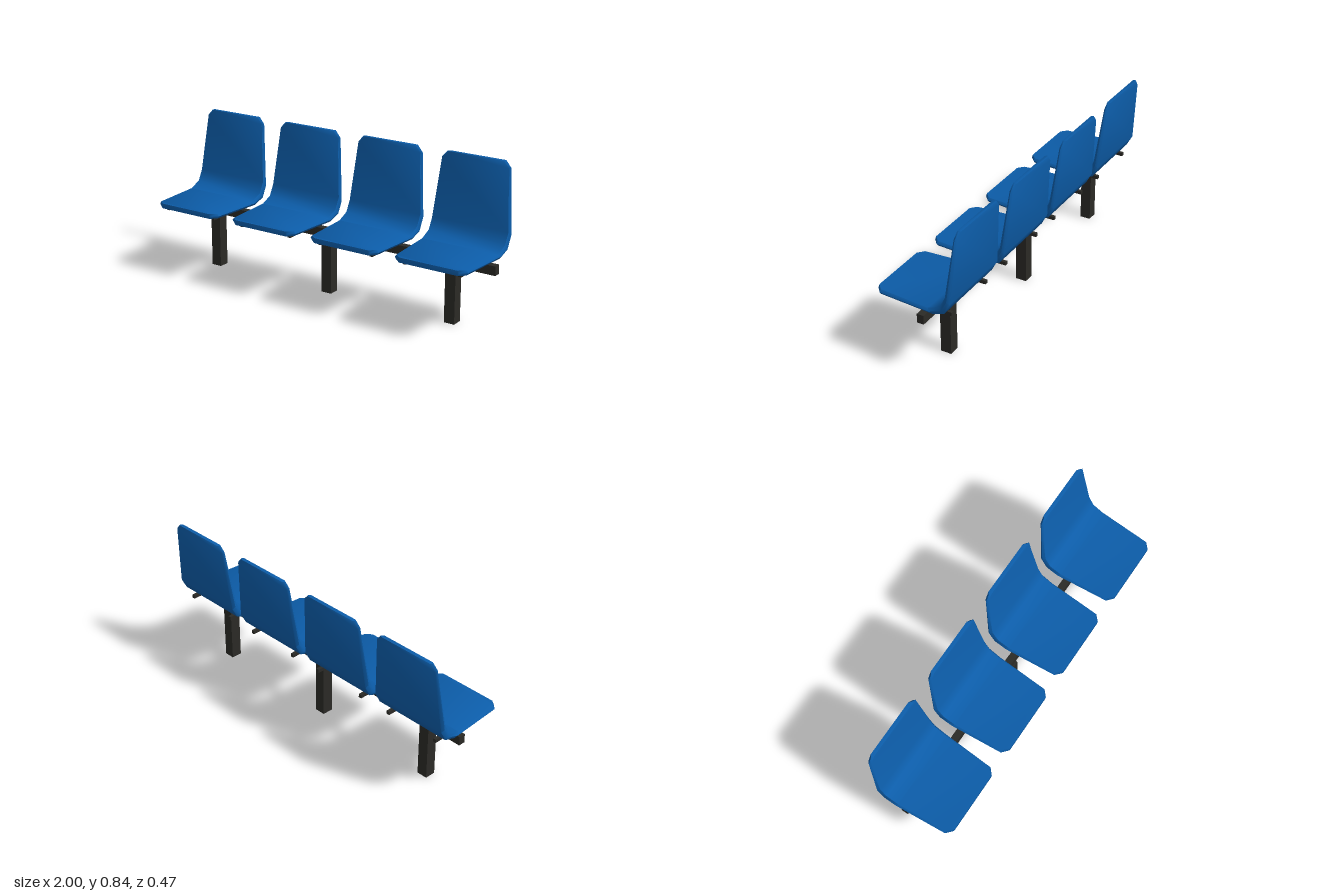
import * as THREE from 'three';
import { toCreasedNormals } from 'three/addons/utils/BufferGeometryUtils.js';

const blue = new THREE.MeshStandardMaterial({ color: 0x0c5ca8 });
const dark = new THREE.MeshStandardMaterial({ color: 0x2b2a26 });

// Seat shell stations from front lip to top of backrest:
// [outer z, outer y, inner z, inner y, half width]
const stations = [
  [0.238, 0.375, 0.238, 0.402, 0.175],
  [0.208, 0.375, 0.208, 0.402, 0.208],
  [-0.1, 0.375, -0.075, 0.402, 0.228],
  [-0.17, 0.4, -0.143, 0.43, 0.23],
  [-0.202, 0.46, -0.175, 0.49, 0.23],
  [-0.233, 0.808, -0.213, 0.808, 0.198],
  [-0.236, 0.842, -0.216, 0.842, 0.168],
];

function seatGeometry() {
  const bevel = 0.01, n = 6, pos = [], index = [];
  for (const [zo, yo, zi, yi, w] of stations) {
    const zm = (zo + zi) / 2, ym = (yo + yi) / 2, v = w - bevel;
    pos.push(v, yi, zi, -v, yi, zi, -w, ym, zm, -v, yo, zo, v, yo, zo, w, ym, zm);
  }
  const last = (stations.length - 1) * n;
  for (let s = 0; s < last; s += n) {
    for (let j = 0; j < n; j++) {
      const k = (j + 1) % n;
      const a = s + j, b = s + k, c = b + n, d = a + n;
      index.push(a, d, c, a, c, b);
    }
  }
  // end caps
  for (let j = 1; j < n - 1; j++) {
    index.push(0, j, j + 1, last, last + j + 1, last + j);
  }
  const g = new THREE.BufferGeometry();
  g.setAttribute('position', new THREE.Float32BufferAttribute(pos, 3));
  g.setIndex(index);
  return toCreasedNormals(g, 1.0);
}

function box(name, w, h, d, x, y, z) {
  const m = new THREE.Mesh(new THREE.BoxGeometry(w, h, d), dark);
  m.name = name;
  m.position.set(x, y, z);
  return m;
}

export function createModel() {
  const model = new THREE.Group();
  model.name = 'beamSeating';

  // long beam carried by three posts
  model.add(box('beam', 1.985, 0.05, 0.038, 0.005, 0.333, -0.041));
  for (const x of [-0.764, -0.008, 0.751]) {
    model.add(box('leg', 0.06, 0.31, 0.06, x, 0.155, -0.041));
  }

  // four seats, each on two cross rails
  const shell = seatGeometry();
  for (let i = 0; i < 4; i++) {
    const seat = new THREE.Group();
    seat.name = 'seat';
    seat.position.x = -0.77 + i * 0.511;
    const mesh = new THREE.Mesh(shell, blue);
    mesh.name = 'seatShell';
    seat.add(mesh);
    for (const side of [-1, 1]) {
      seat.add(box('seatRail', 0.018, 0.019, 0.375, side * 0.157, 0.365, 0.012));
    }
    model.add(seat);
  }
  return model;
}
